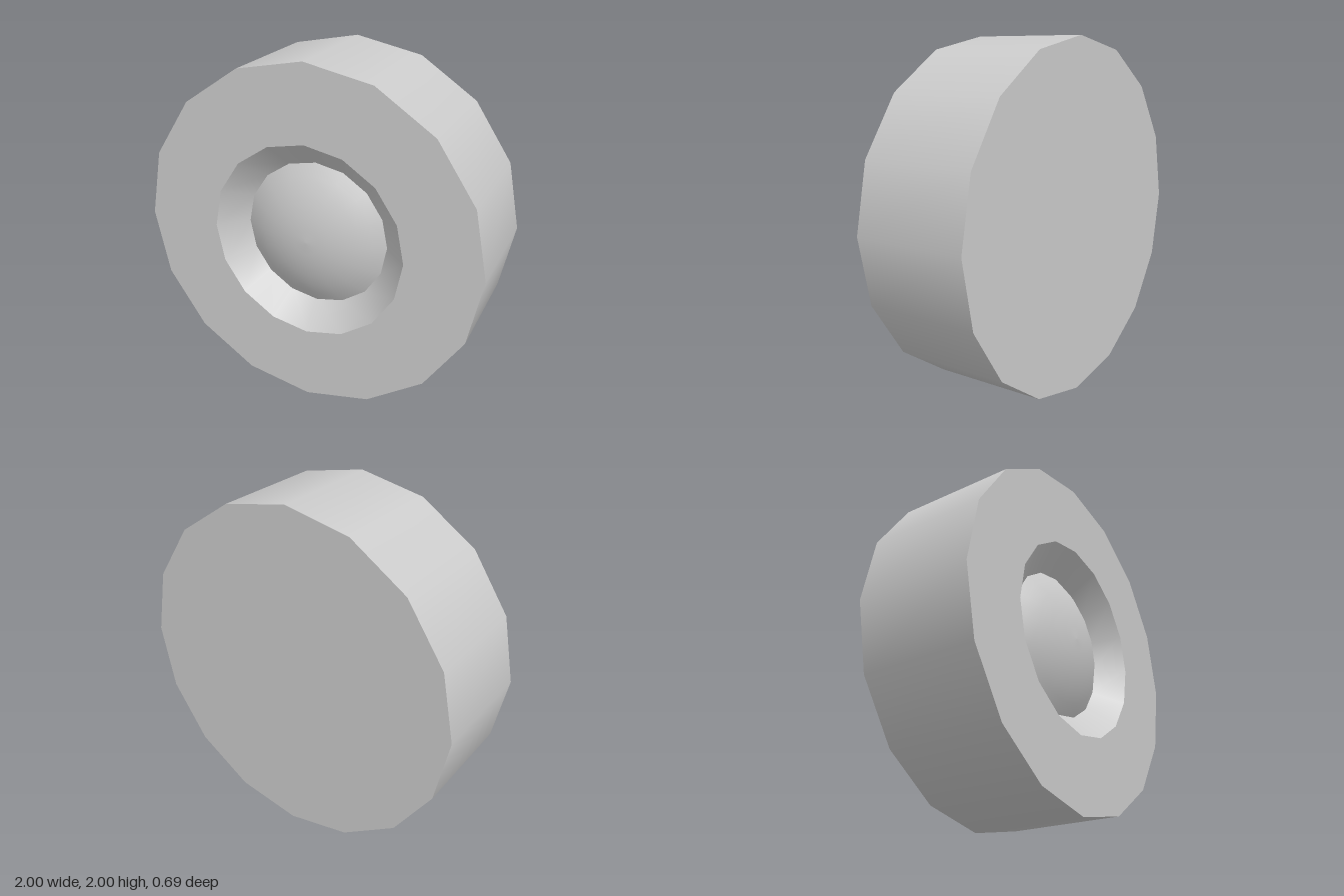
import * as THREE from 'three';

const SIDES = 16;
const HALF = 0.343;      // half of the wheel's width
const RIM = 0.567;       // recess radius at the front face
const HUB = 0.424;       // recess radius at its floor
const FLOOR = HALF - 0.138;
const DOME = 0.13;       // height of the hub dome

export function createModel() {
  const model = new THREE.Group();
  model.name = 'wheel';
  const material = new THREE.MeshStandardMaterial({ color: 0xcccccc });

  // Revolves [radius, z] pairs around the axle, which runs along z
  const revolve = (name, profile) => {
    const points = profile.map(([r, z]) => new THREE.Vector2(r, z));
    const geometry = new THREE.LatheGeometry(points, SIDES).rotateX(Math.PI / 2);
    const mesh = new THREE.Mesh(geometry, material);
    mesh.name = name;
    mesh.position.y = 1;
    model.add(mesh);
  };

  // Separate bands keep the edges between them sharp
  revolve('backFace', [[0, -HALF], [1, -HALF]]);
  revolve('tread', [[1, -HALF], [1, HALF]]);
  revolve('frontFace', [[1, HALF], [RIM, HALF]]);
  revolve('recessWall', [[RIM, HALF], [HUB, FLOOR]]);

  // Hub dome: a shallow spherical cap
  const radius = (HUB * HUB + DOME * DOME) / (2 * DOME);
  const span = Math.asin(HUB / radius);
  const cap = [];
  for (let i = 0; i <= 6; i++) {
    const a = span * (1 - i / 6);
    cap.push([radius * Math.sin(a), FLOOR + DOME - radius * (1 - Math.cos(a))]);
  }
  revolve('hubDome', cap);

  return model;
}
